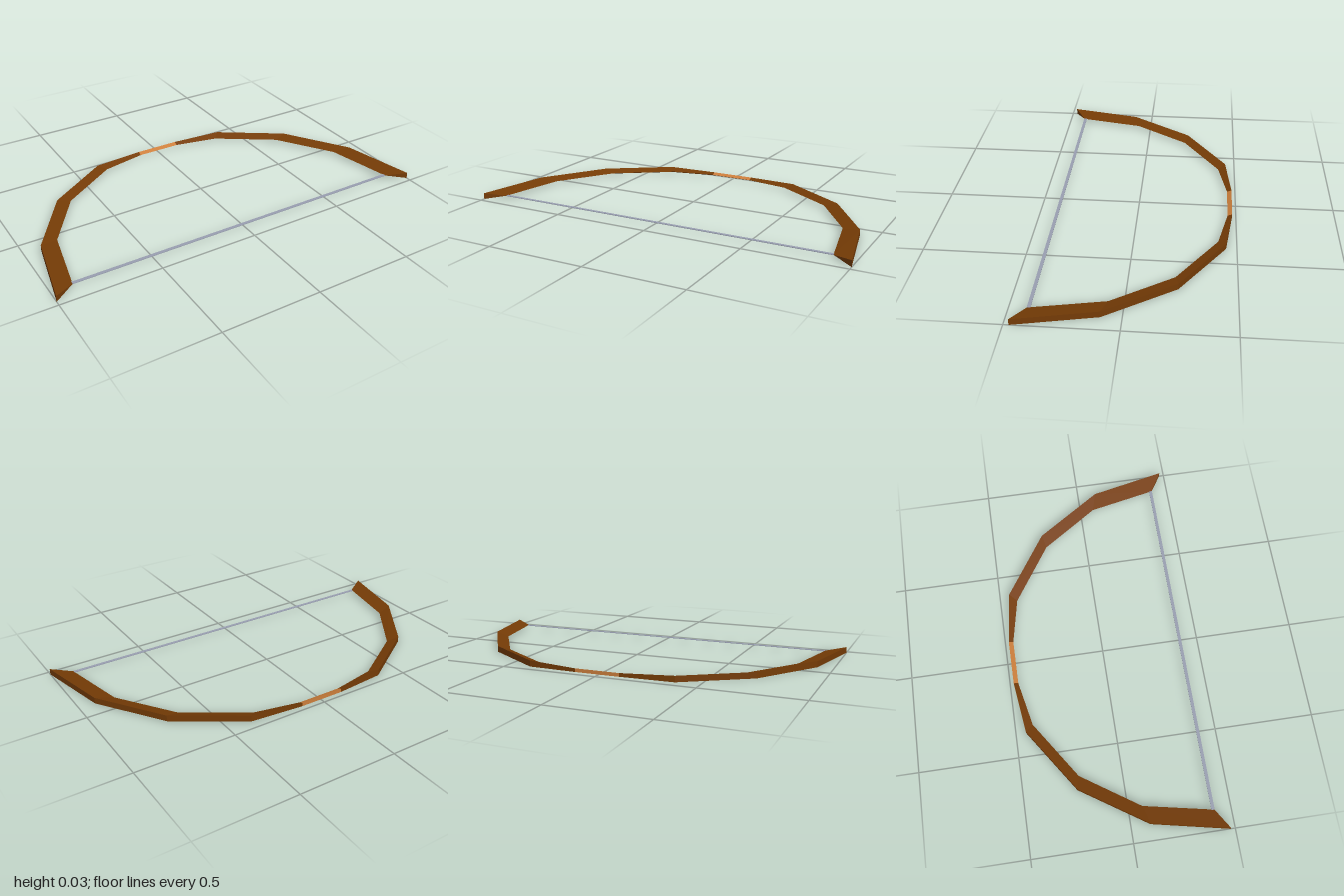
import * as THREE from 'three';

const wood = new THREE.MeshStandardMaterial({ name: 'wood', color: 0x763c06, flatShading: true });
const grip = new THREE.MeshStandardMaterial({ name: 'grip leather', color: 0xcd7f3c, flatShading: true });
const cord = new THREE.MeshStandardMaterial({ name: 'grey cord', color: 0x9aa0b2, flatShading: true });

const MID_Y = 0.0155;

// Half of the bow from grip to tip: outer x, z, inner x, z, half height of the outer face
const half = [
  [0.115, -0.48, 0.115, -0.457, 0.009],
  [0.38, -0.448, 0.345, -0.41, 0.0155],
  [0.704, -0.232, 0.638, -0.216, 0.0155],
  [0.92, 0.095, 0.83, 0.07, 0.0155],
  [1.0, 0.475, 0.9, 0.415, 0.0155],
];
const mirrored = half.map(([ox, oz, ix, iz, h]) => [-ox, oz, -ix, iz, h]);

// Lofts a closed triangular section (flat outside, sharp inner edge)
// through stations listed in order of growing x
function loft(stations) {
  const rings = stations.map(([ox, oz, ix, iz, h]) => [
    [ox, MID_Y + h, oz], [ix, MID_Y, iz], [ox, MID_Y - h, oz],
  ]);
  const pos = [];
  const tri = (a, b, c) => pos.push(...a, ...b, ...c);
  for (let i = 0; i < rings.length - 1; i++) {
    for (let k = 0; k < 3; k++) {
      const n = (k + 1) % 3;
      tri(rings[i][k], rings[i][n], rings[i + 1][n]);
      tri(rings[i][k], rings[i + 1][n], rings[i + 1][k]);
    }
  }
  const first = rings[0], last = rings[rings.length - 1];
  tri(first[2], first[1], first[0]);
  tri(...last);
  const geo = new THREE.BufferGeometry();
  geo.setAttribute('position', new THREE.Float32BufferAttribute(pos, 3));
  geo.computeVertexNormals();
  return geo;
}

export function createModel() {
  const group = new THREE.Group();
  group.name = 'bow';
  const add = (name, geo, mat) => {
    const mesh = new THREE.Mesh(geo, mat);
    mesh.name = name;
    group.add(mesh);
    return mesh;
  };

  // Curved limbs and the slim handle between them
  add('leftLimb', loft(half), wood);
  add('rightLimb', loft([...mirrored].reverse()), wood);
  add('grip', loft([mirrored[0], half[0]]), grip);

  // Flat string between the inner edges of the tips
  add('bowString', new THREE.BoxGeometry(1.8, 0.003, 0.016), cord).position.set(0, MID_Y, 0.408);

  return group;
}
